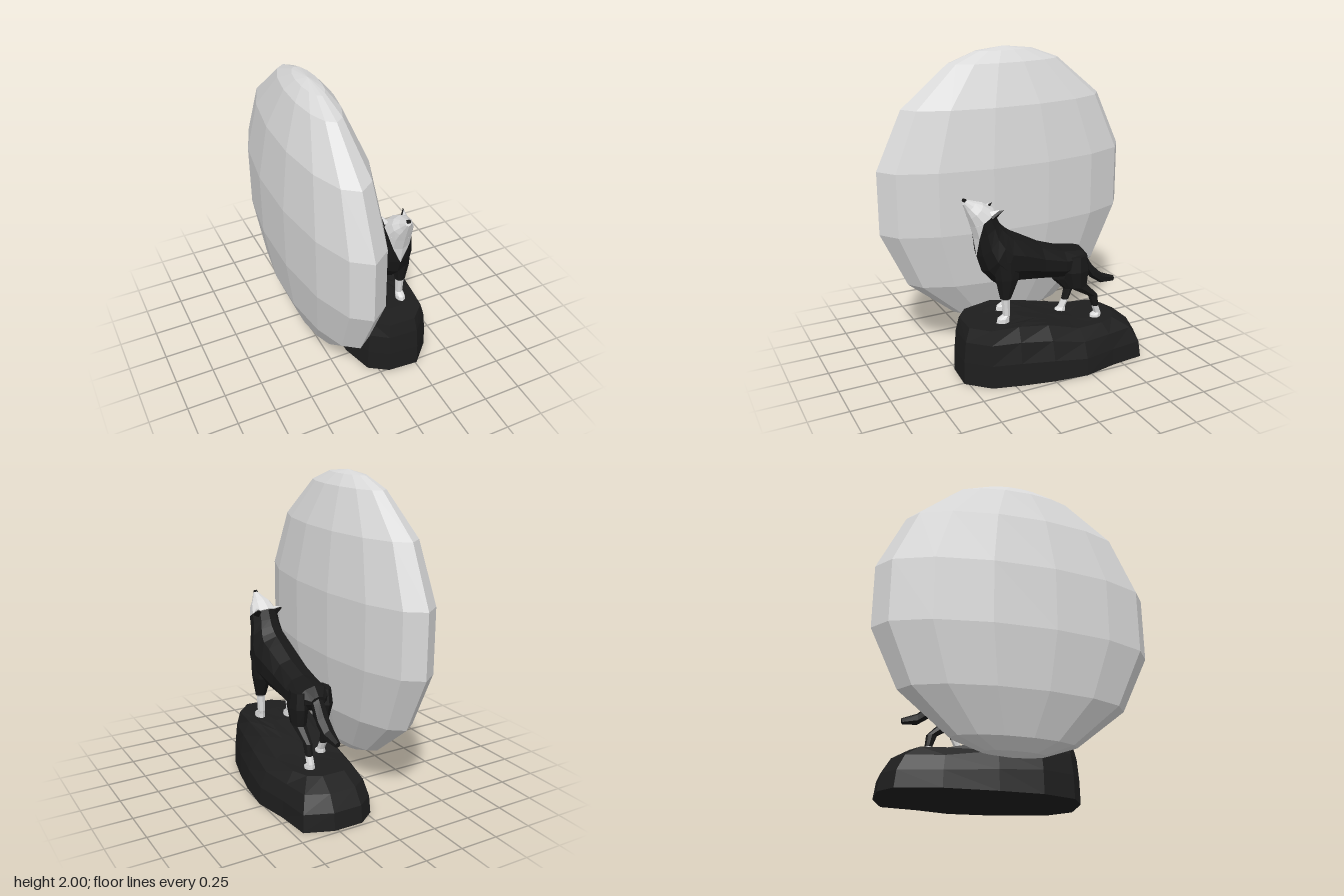
import * as THREE from 'three';

const mat = (name, color) => Object.assign(new THREE.MeshStandardMaterial({ color }), { name });

// Faceted geometry from triangles; each triangle is [materialIndex, a, b, c]
function faceted(tris) {
  const geo = new THREE.BufferGeometry(), pos = [];
  tris.sort((p, q) => p[0] - q[0]);
  tris.forEach(([, a, b, c]) => pos.push(...a, ...b, ...c));
  geo.setAttribute('position', new THREE.Float32BufferAttribute(pos, 3));
  geo.computeVertexNormals();
  for (const m of new Set(tris.map(t => t[0]))) {
    const start = tris.findIndex(t => t[0] === m);
    geo.addGroup(start * 3, tris.filter(t => t[0] === m).length * 3, m);
  }
  return geo;
}

// Skin closed rings of points, with a fan at each end
function skin(rings, pick = () => 0) {
  const n = rings[0].length, tris = [];
  const mid = r => [0, 1, 2].map(k => r.reduce((s, p) => s + p[k], 0) / n);
  for (let i = 0; i < rings.length - 1; i++) {
    for (let j = 0; j < n; j++) {
      const k = (j + 1) % n;
      const a = rings[i][j], b = rings[i][k], c = rings[i + 1][k], d = rings[i + 1][j];
      if (j < n / 2) tris.push([pick(i, j, 0), a, d, b], [pick(i, j, 1), b, d, c]);
      else tris.push([pick(i, j, 0), a, c, b], [pick(i, j, 1), a, d, c]);
    }
  }
  const first = rings[0], last = rings[rings.length - 1], f = mid(first), l = mid(last);
  for (let j = 0; j < n; j++) {
    const k = (j + 1) % n;
    tris.push([pick(0, j, 0), f, first[j], first[k]]);
    tris.push([pick(rings.length - 2, j, 1), l, last[k], last[j]]);
  }
  return faceted(tris);
}

// Ring through an upper and a lower profile point: [z1, y1, z2, y2, halfWidth]
const ring = (x, n) => ([z1, y1, z2, y2, w]) => Array.from({ length: n }, (_, j) => {
  const a = j / n * Math.PI * 2, c = Math.cos(a) / 2;
  return [x + Math.sin(a) * w, (y1 + y2) / 2 + c * (y1 - y2), (z1 + z2) / 2 + c * (z1 - z2)];
});

export function createModel() {
  const model = new THREE.Group();
  model.name = 'howlingWolfAndMoon';
  const moonGrey = mat('moonGrey', 0xd8d8d8), rockBlack = mat('rockBlack', 0x1e1e1e);
  const furBlack = mat('furBlack', 0x181818), furWhite = mat('furWhite', 0xdcdcdc);
  const add = (name, geo, material, parent = model) => {
    const m = new THREE.Mesh(geo, material);
    m.name = name;
    parent.add(m);
    return m;
  };

  // Flattened moon
  const profile = [14, 13, 12, 10, 8, 6, 4, 2, 1, 0].map(k => {
    const t = k * Math.PI / 14;
    return new THREE.Vector2(k % 14 ? Math.sin(t) : 0, Math.cos(t));
  });
  const moonGeo = new THREE.LatheGeometry(profile, 14).scale(0.275, 0.92, 0.887).toNonIndexed();
  moonGeo.computeVertexNormals();
  add('moon', moonGeo, moonGrey).position.set(-0.25, 1.08, 0);

  // Rock: base outline and inset top outline [x, z, topX, topZ]
  const outline = [
    [0.26, 0.525, 0.25, 0.48], [0.39, 0.39, 0.35, 0.38], [0.44, 0.21, 0.37, 0.2],
    [0.485, 0, 0.38, 0], [0.51, -0.22, 0.39, -0.22], [0.465, -0.44, 0.37, -0.4],
    [0.445, -0.66, 0.33, -0.5], [0.27, -0.73, 0.25, -0.55], [0.08, -0.73, 0.1, -0.55],
    [-0.03, -0.65, 0.02, -0.5], [-0.1, -0.38, -0.01, -0.34], [-0.12, -0.05, -0.05, -0.05],
    [-0.12, 0.22, -0.07, 0.2], [-0.06, 0.43, -0.02, 0.4], [0.06, 0.51, 0.07, 0.475]];
  const rockY = z => 0.27 + 0.1 * THREE.MathUtils.smoothstep(z, -0.3, 0.16);
  const lerp = THREE.MathUtils.lerp;
  const level = (t, h) => outline.map(([x, z, u, v]) => [lerp(x, u, t), rockY(v) * h, lerp(z, v, t)]);
  const inner = s => outline.map(([, , u, v]) => {
    const z = lerp(-0.1, v, s);
    return [lerp(0.18, u, s), rockY(z), z];
  });
  const rockRings = [inner(0.4), inner(0.75), level(1, 1), level(0.4, 0.76), level(0.08, 0.4), level(0, 0)];
  add('rock', skin(rockRings), rockBlack);

  const wolf = new THREE.Group();
  wolf.name = 'wolf';
  wolf.position.x = 0.175;
  model.add(wolf);

  // Body and neck, with a white bib tapering down the throat
  const body = [
    [-0.375, 0.70, -0.36, 0.63, 0.05], [-0.325, 0.755, -0.31, 0.59, 0.115],
    [-0.18, 0.78, -0.17, 0.57, 0.13], [-0.02, 0.835, -0.02, 0.585, 0.13],
    [0.11, 0.905, 0.14, 0.60, 0.142], [0.17, 0.935, 0.28, 0.61, 0.146],
    [0.20, 0.957, 0.36, 0.70, 0.134], [0.235, 0.99, 0.392, 0.80, 0.112],
    [0.255, 1.03, 0.408, 0.92, 0.097], [0.28, 1.09, 0.43, 1.0, 0.092]];
  const bib = (i, j, upper) => {
    const d = j < 5 ? 4 - j : j - 5;          // steps away from the throat line
    if (i === 7) return d === 0 && upper ? 1 : 0;
    if (i === 8) return d === 0 || (d === 1 && upper) ? 1 : 0;
    return 0;
  };
  add('body', skin(body.map(ring(0, 10)), bib), [furBlack, furWhite], wolf);

  // Raised head
  const head = [
    [0.278, 1.095, 0.43, 1.0, 0.092], [0.35, 1.14, 0.447, 1.055, 0.07],
    [0.40, 1.155, 0.46, 1.095, 0.042], [0.455, 1.173, 0.474, 1.14, 0.02]];
  add('head', skin(head.map(ring(0, 10))), furWhite, wolf);
  const nose = add('nose', new THREE.BoxGeometry(0.022, 0.018, 0.02), furBlack, wolf);
  nose.position.set(0, 1.167, 0.464);
  nose.rotation.x = -0.4;

  // Tail, from tip to root
  const tail = [
    [-0.60, 0.49, -0.59, 0.452, 0.02], [-0.50, 0.53, -0.50, 0.457, 0.042],
    [-0.436, 0.59, -0.415, 0.515, 0.046], [-0.385, 0.67, -0.36, 0.60, 0.042],
    [-0.33, 0.74, -0.31, 0.66, 0.04]];
  add('tail', skin(tail.map(ring(0, 6))), furBlack, wolf);

  // Legs, top to bottom: [z, y, halfDepth, halfWidth]; white below the sock row
  const leg = (name, x, rows, sock) => {
    const rings = rows.map(([z, y, d, w]) => ring(x, 8)([z + d, y, z - d, y, w]));
    add(name, skin(rings, i => (i >= sock ? 1 : 0)), [furBlack, furWhite], wolf);
  };
  const frontLeg = (name, x, z) => leg(name, x, [
    [0.23, 0.78, 0.09, 0.055], [0.225, 0.66, 0.08, 0.058], [z, 0.53, 0.036, 0.036],
    [z, 0.52, 0.028, 0.029], [z - 0.005, 0.415, 0.024, 0.025],
    [z + 0.015, 0.395, 0.042, 0.03], [z + 0.018, 0.362, 0.046, 0.031]], 2);
  frontLeg('leftFrontLeg', 0.087, 0.24);
  frontLeg('rightFrontLeg', -0.087, 0.165);
  const hindLeg = (name, x, knee, hock, foot) => leg(name, x, [
    [-0.27, 0.72, 0.07, 0.045], [-0.265, 0.62, 0.09, 0.058], [knee, 0.51, 0.066, 0.045],
    [hock, 0.425, 0.034, 0.028], [(hock + foot) / 2, 0.35, 0.024, 0.025],
    [foot, 0.30, 0.024, 0.026], [foot + 0.012, 0.285, 0.038, 0.032],
    [foot + 0.014, 0.262, 0.04, 0.033]], 4);
  hindLeg('leftHindLeg', 0.087, -0.275, -0.39, -0.425);
  hindLeg('rightHindLeg', -0.087, -0.25, -0.305, -0.255);

  // Ears laid back, with pale inner faces
  const cone = (r, h) => {
    const geo = new THREE.ConeGeometry(r, h, 4).toNonIndexed();
    geo.computeVertexNormals();
    return geo;
  };
  for (const s of [-1, 1]) {
    const ear = add(s > 0 ? 'leftEar' : 'rightEar', cone(0.032, 0.085), furBlack, wolf);
    ear.position.set(s * 0.072, 1.08, 0.28);
    ear.rotation.set(-1.05, 0, -s * 0.3);
    add('innerEar', cone(0.022, 0.06), furWhite, ear).position.set(0, -0.006, 0.014);
  }
  return model;
}
